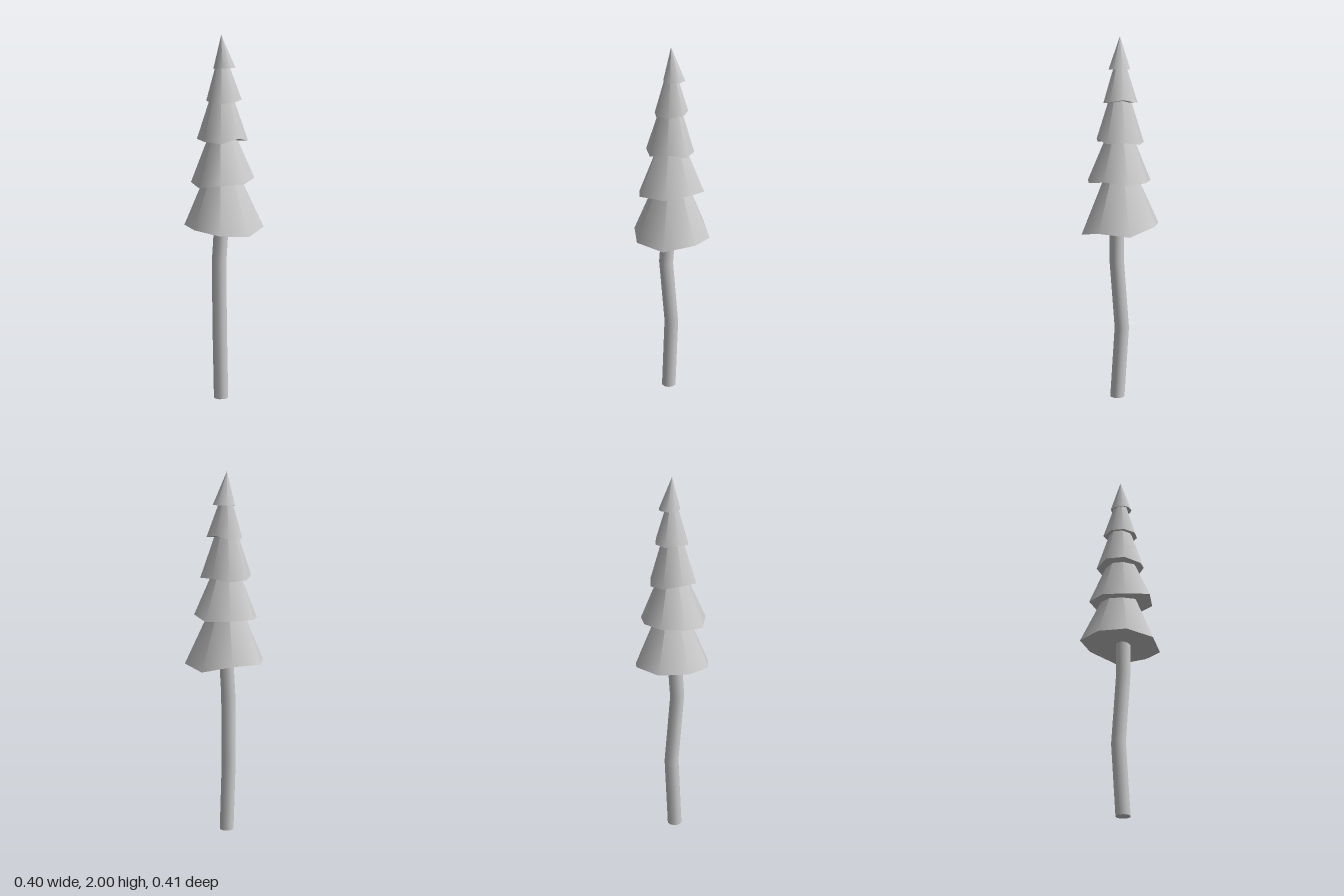
import * as THREE from 'three';

const material = new THREE.MeshStandardMaterial({ color: 0xcccccc });

// Bent trunk: centre line as [x, y, z], one entry per ring
const TRUNK_PATH = [[-0.02, 0, 0.015], [-0.018, 0.4, -0.01], [-0.033, 0.78, 0.02], [-0.015, 1.02, 0.015]];
const TRUNK_RADIUS = 0.04;

// Corner directions shared by all foliage tiers (degrees from +x towards +z)
const CORNERS = [25, 72, 117, 158, 201, 245, 290, 339].map(THREE.MathUtils.degToRad);

// Uneven eight-cornered cones: tip height, rim radius and rim height per corner
const TIERS = [
  { tip: 1.455, r: [0.22, 0.212, 0.226, 0.216, 0.213, 0.227, 0.209, 0.203],
    y: [0.965, 0.935, 0.95, 0.97, 0.975, 0.98, 0.985, 0.945] },
  { tip: 1.64, r: [0.168, 0.172, 0.207, 0.184, 0.176, 0.179, 0.158, 0.171],
    y: [1.235, 1.215, 1.215, 1.195, 1.21, 1.22, 1.22, 1.215] },
  { tip: 1.85, r: [0.134, 0.127, 0.142, 0.146, 0.143, 0.139, 0.119, 0.114],
    y: [1.435, 1.455, 1.43, 1.44, 1.445, 1.43, 1.425, 1.44] },
  { tip: 1.95, r: [0.099, 0.09, 0.101, 0.098, 0.092, 0.102, 0.09, 0.081],
    y: [1.655, 1.645, 1.64, 1.645, 1.65, 1.645, 1.65, 1.665] },
  { tip: 2, r: [0.065, 0.06, 0.056, 0.051, 0.054, 0.06, 0.062, 0.065],
    y: [1.825, 1.825, 1.825, 1.825, 1.82, 1.825, 1.825, 1.825] },
];

function indexedGeometry(points, index) {
  const geometry = new THREE.BufferGeometry().setFromPoints(points);
  geometry.setIndex(index);
  geometry.computeVertexNormals();
  return geometry;
}

function makeTier({ tip, r, y }) {
  const n = CORNERS.length;
  const rim = CORNERS.map((a, k) => new THREE.Vector3(r[k] * Math.cos(a), y[k], r[k] * Math.sin(a)));
  const apex = new THREE.Vector3(-0.012, tip, 0);
  const centre = new THREE.Vector3();
  rim.forEach((p) => centre.addScaledVector(p, 1 / n));

  // Each corner gets its own tip vertex so the slope shades evenly
  const sides = [];
  const base = [];
  for (let k = 0; k < n; k++) {
    const next = (k + 1) % n;
    sides.push(k, n + k, next);
    base.push(n, k, next);
  }
  const tier = new THREE.Group();
  const slope = new THREE.Mesh(indexedGeometry([...rim, ...rim.map(() => apex)], sides), material);
  slope.name = 'foliageSlope';
  const underside = new THREE.Mesh(indexedGeometry([...rim, centre], base), material);
  underside.name = 'foliageUnderside';
  tier.add(slope, underside);
  return tier;
}

function makeTrunk() {
  const rows = TRUNK_PATH.length - 1;
  const geometry = new THREE.CylinderGeometry(TRUNK_RADIUS, TRUNK_RADIUS, 1, 10, rows);
  const pos = geometry.attributes.position;
  // Shift each ring onto the centre line
  for (let i = 0; i < pos.count; i++) {
    const [x, y, z] = TRUNK_PATH[Math.round((pos.getY(i) + 0.5) * rows)];
    pos.setXYZ(i, pos.getX(i) + x, y, pos.getZ(i) + z);
  }
  const trunk = new THREE.Mesh(geometry, material);
  trunk.name = 'trunk';
  return trunk;
}

export function createModel() {
  const tree = new THREE.Group();
  tree.name = 'coniferTree';
  tree.add(makeTrunk());
  TIERS.forEach((spec, i) => {
    const tier = makeTier(spec);
    tier.name = `foliageTier${i + 1}`;
    tree.add(tier);
  });
  return tree;
}
